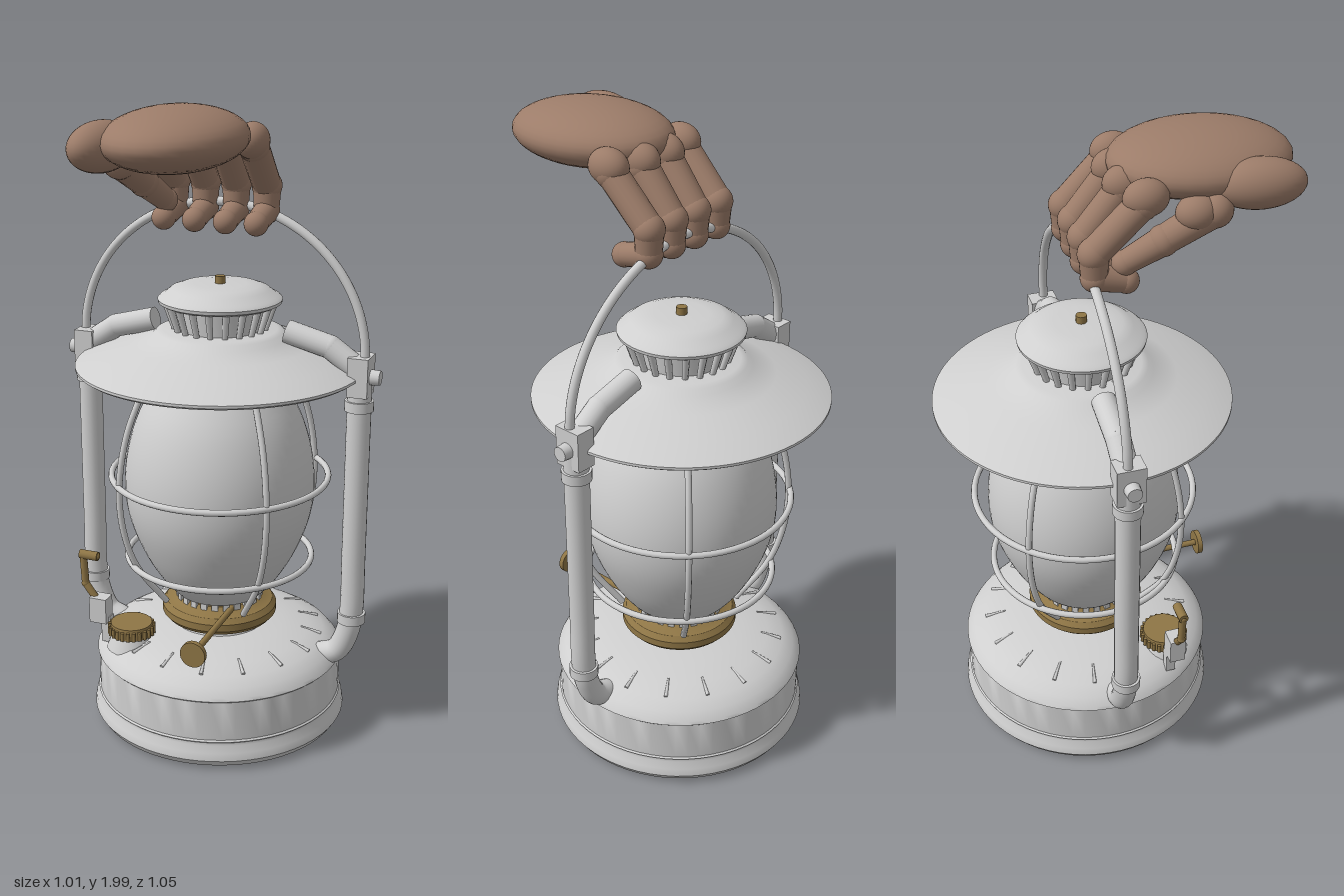
import * as THREE from 'three';
import { toCreasedNormals } from 'three/addons/utils/BufferGeometryUtils.js';

const metal = new THREE.MeshStandardMaterial({ color: 0xcfcfcf });
metal.name = 'pale metal';
const brass = new THREE.MeshStandardMaterial({ color: 0x8f7646 });
brass.name = 'brass';
const skin = new THREE.MeshStandardMaterial({ color: 0x9c7c69 });
skin.name = 'brown skin';

const V = (x, y, z) => new THREE.Vector3(x, y, z);

function add(parent, name, geo, mat, x = 0, y = 0, z = 0) {
  const m = new THREE.Mesh(geo, mat);
  m.name = name;
  m.position.set(x, y, z);
  parent.add(m);
  return m;
}

// Turned part from [radius, height] pairs, listed from bottom to top
function turned(parent, name, profile, mat, sides = 64) {
  const geo = new THREE.LatheGeometry(profile.map(([r, y]) => new THREE.Vector2(r, y)), sides);
  return add(parent, name, toCreasedNormals(geo, 0.6), mat);
}

// Straight, optionally tapered rod between two points
function rod(parent, name, a, b, ra, rb, mat, sides = 20) {
  const dir = b.clone().sub(a);
  const m = add(parent, name, new THREE.CylinderGeometry(rb, ra, dir.length(), sides), mat);
  m.position.copy(a).add(b).multiplyScalar(0.5);
  m.quaternion.setFromUnitVectors(V(0, 1, 0), dir.normalize());
  return m;
}

function ball(parent, name, p, rx, ry, rz, mat) {
  const m = add(parent, name, new THREE.SphereGeometry(1, 32, 20), mat, p.x, p.y, p.z);
  m.scale.set(rx, ry, rz);
  return m;
}

function tube(parent, name, pts, r, mat, segs = 48, sides = 14) {
  return add(parent, name, new THREE.TubeGeometry(new THREE.CatmullRomCurve3(pts), segs, r, sides), mat);
}

function buildBody(g) {
  // Fuel tank with rolled foot and domed shoulder
  turned(g, 'tank', [[0, 0.008], [0.36, 0.008], [0.398, 0.018], [0.412, 0.04], [0.408, 0.065], [0.395, 0.085],
    [0.395, 0.095], [0.4, 0.1], [0.395, 0.105], [0.395, 0.235], [0.4, 0.24], [0.394, 0.25], [0.375, 0.272],
    [0.34, 0.293], [0.29, 0.31], [0.21, 0.326], [0.15, 0.332], [0.14, 0.36], [0, 0.36]], metal);
  for (let i = 0; i < 16; i++) {
    const a = (i + 0.5) / 16 * Math.PI * 2;
    rod(g, 'shoulderRib', V(Math.sin(a) * 0.27, 0.315, Math.cos(a) * 0.27),
      V(Math.sin(a) * 0.335, 0.296, Math.cos(a) * 0.335), 0.003, 0.006, metal, 8);
  }

  // Burner collar and toothed globe seat
  turned(g, 'burnerCollar', [[0.13, 0.335], [0.145, 0.346], [0.172, 0.35], [0.185, 0.365], [0.185, 0.388],
    [0.172, 0.405], [0.14, 0.415], [0.13, 0.425], [0, 0.425]], brass);
  turned(g, 'globeSeat', [[0.12, 0.415], [0.125, 0.44], [0, 0.44]], metal);
  for (let i = 0; i < 24; i++) {
    const a = i / 24 * Math.PI * 2;
    const tooth = add(g, 'seatTooth', new THREE.BoxGeometry(0.02, 0.03, 0.01), metal,
      Math.sin(a) * 0.135, 0.43, Math.cos(a) * 0.135);
    tooth.rotation.y = a;
  }

  // Globe
  const globe = new THREE.SplineCurve([[0.14, 0.435], [0.185, 0.485], [0.24, 0.575], [0.285, 0.69], [0.3, 0.8],
    [0.288, 0.92], [0.25, 1.04], [0.185, 1.155]].map(([r, y]) => new THREE.Vector2(r, y)));
  const globePts = globe.getPoints(28).map(p => [p.x, p.y]);
  turned(g, 'globe', [[0, 0.435], ...globePts], metal);

  // Wire guard
  for (const [r, y] of [[0.342, 0.835], [0.295, 0.56]]) {
    add(g, 'guardRing', new THREE.TorusGeometry(r, 0.01, 10, 64), metal, 0, y, 0).rotation.x = Math.PI / 2;
  }
  for (let i = 0; i < 4; i++) {
    const a = Math.PI / 4 + i * Math.PI / 2;
    const pts = [[0.185, 0.42], [0.285, 0.56], [0.328, 0.69], [0.338, 0.835], [0.31, 1.0], [0.24, 1.17]];
    tube(g, 'guardWire', pts.map(([r, y]) => V(Math.sin(a) * r, y, Math.cos(a) * r)), 0.01, metal, 40, 10);
  }

  // Shade
  turned(g, 'shade', [[0, 1.142], [0.2, 1.142], [0.3, 1.15], [0.38, 1.167], [0.435, 1.183], [0.445, 1.19],
    [0.445, 1.198], [0.435, 1.203], [0.37, 1.23], [0.28, 1.262], [0.21, 1.285], [0.195, 1.3], [0.175, 1.306],
    [0, 1.306]], metal, 80);

  // Vented chimney and cap
  turned(g, 'chimney', [[0.125, 1.3], [0.135, 1.39], [0, 1.39]], metal, 40);
  for (let i = 0; i < 20; i++) {
    const a = (i + 0.5) / 20 * Math.PI * 2;
    rod(g, 'ventSlat', V(Math.sin(a) * 0.137, 1.3, Math.cos(a) * 0.137),
      V(Math.sin(a) * 0.166, 1.392, Math.cos(a) * 0.166), 0.009, 0.012, metal, 8);
  }
  turned(g, 'cap', [[0, 1.383], [0.175, 1.383], [0.188, 1.39], [0.19, 1.4], [0.182, 1.408], [0.172, 1.412],
    [0.15, 1.43], [0.12, 1.441], [0.08, 1.445], [0, 1.445]], metal);
  add(g, 'capKnob', new THREE.CylinderGeometry(0.016, 0.016, 0.03, 16), brass, 0, 1.452, 0);
}

function buildFrame(g) {
  for (const s of [1, -1]) {
    // Side air tube with bent foot
    tube(g, 'sideTube', [[0.445, 1.18], [0.445, 0.9], [0.445, 0.6], [0.445, 0.44], [0.435, 0.36], [0.4, 0.285],
      [0.35, 0.262]].map(([x, y]) => V(s * x, y, 0)), 0.037, metal, 70, 20);
    for (const y of [1.11, 0.41]) {
      add(g, 'tubeCollar', new THREE.CylinderGeometry(0.044, 0.044, 0.032, 24), metal, s * 0.445, y, 0);
    }
    // Hinge block and bolt
    add(g, 'hingeBlock', new THREE.BoxGeometry(0.062, 0.12, 0.085), metal, s * 0.447, 1.203, 0);
    rod(g, 'hingeBolt', V(s * 0.47, 1.2, 0), V(s * 0.507, 1.2, 0), 0.024, 0.022, metal);
    // Elbow arm to the chimney
    const pts = [V(s * 0.445, 1.215, 0), V(s * 0.35, 1.28, 0), V(s * 0.215, 1.315, 0)];
    rod(g, 'armOuter', pts[0], pts[1], 0.036, 0.036, metal);
    ball(g, 'armElbow', pts[1], 0.036, 0.036, 0.036, metal);
    rod(g, 'armInner', pts[1], pts[2], 0.036, 0.036, metal);
  }
  // Bail handle
  const arch = [];
  for (let i = 0; i <= 24; i++) {
    const a = i / 24 * Math.PI;
    arch.push(V(Math.cos(a) * 0.46, 1.25 + Math.sin(a) * 0.44, 0.006 * Math.cos(a) - 0.01 * Math.sin(a)));
  }
  tube(g, 'bail', arch, 0.014, metal, 90, 12);
}

function buildControls(g) {
  // Filler neck and knurled cap
  add(g, 'fillerNeck', new THREE.CylinderGeometry(0.06, 0.08, 0.05, 28), metal, -0.225, 0.302, 0.2);
  add(g, 'fillerCap', new THREE.CylinderGeometry(0.066, 0.072, 0.036, 28), brass, -0.225, 0.344, 0.2);
  for (let i = 0; i < 24; i++) {
    const a = i / 24 * Math.PI * 2;
    add(g, 'capKnurl', new THREE.CylinderGeometry(0.006, 0.006, 0.028, 8), brass,
      -0.225 + Math.sin(a) * 0.071, 0.34, 0.2 + Math.cos(a) * 0.071);
  }
  // Wick rod and wheel
  rod(g, 'wickRod', V(0.08, 0.418, 0.08), V(0.08, 0.418, 0.43), 0.01, 0.01, brass);
  rod(g, 'wickWheel', V(0.08, 0.418, 0.417), V(0.08, 0.418, 0.433), 0.04, 0.04, brass, 32);
  // Lift lever and its bracket
  add(g, 'leverBracket', new THREE.BoxGeometry(0.058, 0.085, 0.05), metal, -0.333, 0.39, 0.2);
  add(g, 'bracketFoot', new THREE.BoxGeometry(0.03, 0.09, 0.03), metal, -0.315, 0.32, 0.19);
  const lever = [V(-0.34, 0.41, 0.2), V(-0.385, 0.47, 0.2), V(-0.39, 0.566, 0.2), V(-0.345, 0.57, 0.2)];
  for (let i = 0; i < 3; i++) {
    rod(g, 'lever', lever[i], lever[i + 1], 0.012, 0.012, brass, 12);
    ball(g, 'leverJoint', lever[i + 1], 0.013, 0.013, 0.013, brass);
  }
  rod(g, 'leverGrip', V(-0.4, 0.57, 0.2), V(-0.338, 0.57, 0.2), 0.015, 0.015, brass, 14);
}

// Chain of tapered segments with ball joints
function digit(g, name, pts, radii) {
  pts.forEach((p, i) => {
    ball(g, name + 'Joint', p, radii[i], radii[i], radii[i], skin);
    if (i) rod(g, name, pts[i - 1], p, radii[i - 1] * 0.94, radii[i] * 0.94, skin, 18);
  });
}

function buildHand(g) {
  ball(g, 'palm', V(0, 1.912, 0.257), 0.195, 0.088, 0.263, skin).rotation.x = 0.03;
  ball(g, 'thumbBase', V(-0.168, 1.895, 0.365), 0.07, 0.07, 0.13, skin).rotation.y = -0.15;
  [[-0.15, 0.055], [-0.05, 0.03], [0.05, 0.03], [0.148, 0.055]].forEach(([x, z]) => {
    const k = x * 0.97;
    ball(g, 'knuckle', V(x, 1.89, z), 0.048, 0.052, 0.064, skin);
    digit(g, 'finger', [V(x, 1.875, z - 0.01), V(k, 1.745, -0.087), V(k, 1.672, -0.085), V(k, 1.648, 0.005)],
      [0.046, 0.045, 0.04, 0.036]);
  });
  ball(g, 'thumbKnuckle', V(-0.175, 1.84, 0.19), 0.05, 0.05, 0.06, skin);
  digit(g, 'thumb', [V(-0.175, 1.84, 0.24), V(-0.165, 1.765, 0.1), V(-0.14, 1.7, 0.0)], [0.05, 0.044, 0.036]);
}

export function createModel() {
  const root = new THREE.Group();
  root.name = 'heldLantern';
  const lantern = new THREE.Group();
  lantern.name = 'lantern';
  lantern.position.z = -0.082;
  buildBody(lantern);
  buildFrame(lantern);
  buildControls(lantern);
  const hand = new THREE.Group();
  hand.name = 'hand';
  buildHand(hand);
  root.add(lantern, hand);
  return root;
}
